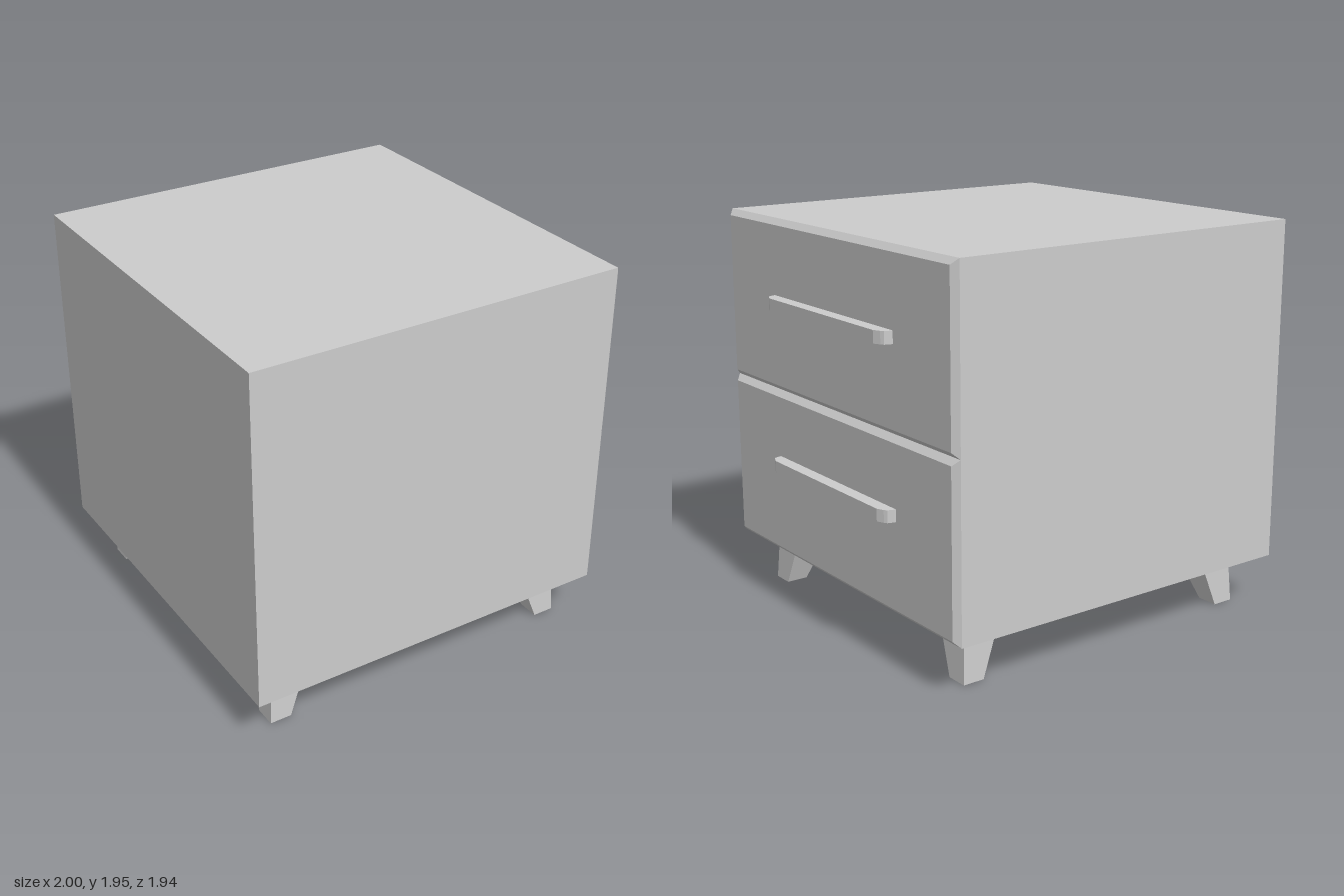
import * as THREE from 'three';

const material = new THREE.MeshStandardMaterial({ color: 0xcccccc, flatShading: true });

function add(parent, name, geometry) {
  const mesh = new THREE.Mesh(geometry, material);
  mesh.name = name;
  parent.add(mesh);
  return mesh;
}

// Tapered block along y; each rectangle is [x0, x1, z0, z1]
function taperedBlock(y0, y1, bottom, top) {
  const geometry = new THREE.BoxGeometry(1, 1, 1);
  const p = geometry.attributes.position;
  for (let i = 0; i < p.count; i++) {
    const upper = p.getY(i) > 0;
    const r = upper ? top : bottom;
    p.setXYZ(i, p.getX(i) > 0 ? r[1] : r[0], upper ? y1 : y0, p.getZ(i) > 0 ? r[3] : r[2]);
  }
  geometry.computeVertexNormals();
  return geometry;
}

export function createModel() {
  const model = new THREE.Group();
  model.name = 'bedsideCabinet';

  const bodyBottom = 0.25, bodyTop = 1.945, halfDepth = 0.97;
  const bodyFront = 0.908, drawerFace = 0.937, bevel = 0.029;

  // Plain cabinet box
  const body = add(model, 'cabinetBody',
    new THREE.BoxGeometry(bodyFront + 1, bodyTop - bodyBottom, halfDepth * 2));
  body.position.set((bodyFront - 1) / 2, (bodyTop + bodyBottom) / 2, 0);

  // Two drawers, each with a bevelled front and a rounded bar handle
  const h = (bodyTop - bodyBottom) / 2;
  const names = ['lowerDrawer', 'upperDrawer'];
  const handleY = [0.735, 1.545];
  for (let i = 0; i < 2; i++) {
    const drawer = new THREE.Group();
    drawer.name = names[i];
    model.add(drawer);

    const a = h / 2, b = halfDepth;
    const front = add(drawer, 'drawerFront', taperedBlock(bodyFront, drawerFace,
      [-a, a, -b, b], [-a + bevel, a - bevel, -b + bevel, b - bevel]));
    front.rotation.z = -Math.PI / 2;
    front.position.y = bodyBottom + h * (i + 0.5);

    const outline = [[0.93, 0.515], [0.945, 0.514], [0.975, 0.505], [0.985, 0.49], [1, 0.455]];
    const mirrored = outline.map(([x, z]) => [x, -z]).reverse();
    const shape = new THREE.Shape([...outline, ...mirrored].map(([x, z]) => new THREE.Vector2(x, z)));
    const bar = new THREE.ExtrudeGeometry(shape, { depth: 0.06, bevelEnabled: false });
    bar.translate(0, 0, -0.03).rotateX(-Math.PI / 2);
    add(drawer, 'handle', bar).position.y = handleY[i];
  }

  // Four tapered legs splayed outwards, mirrored about the base centre
  const mirrorRect = ([x0, x1, z0, z1], sx, sz) => [
    ...(sx > 0 ? [x0, x1] : [-x1, -x0]),
    ...(sz > 0 ? [z0, z1] : [-z1, -z0]),
  ];
  const foot = [0.728, 0.838, 0.73, 0.84], hip = [0.633, 0.823, 0.635, 0.825];
  for (const sx of [1, -1]) {
    for (const sz of [1, -1]) {
      const name = (sx > 0 ? 'drawerSide' : 'backSide') + (sz > 0 ? 'FrontLeg' : 'RearLeg');
      const leg = add(model, name,
        taperedBlock(0, bodyBottom, mirrorRect(foot, sx, sz), mirrorRect(hip, sx, sz)));
      leg.position.x = -0.033;
    }
  }
  return model;
}
